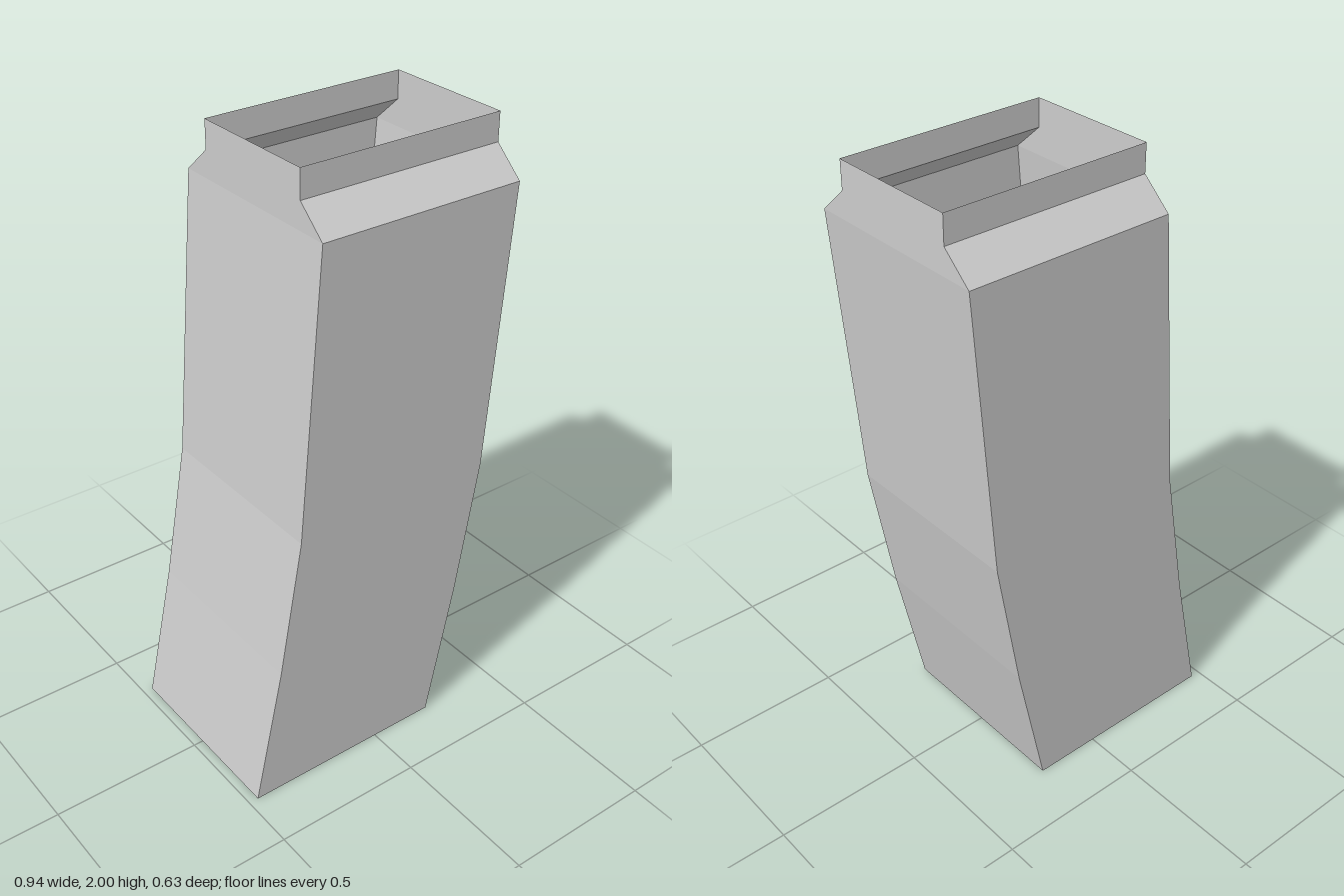
import * as THREE from 'three';

// Cross-sections from bottom to top: [height, centre x, half depth]
const RINGS = [
  [0, -0.125, 0.316],
  [0.46, -0.028, 0.316],
  [0.91, 0.05, 0.316],
  [1.825, 0.124, 0.316],
  [1.91, 0.124, 0.22],
  [2, 0.124, 0.22],
];
const HALF_WIDTH = 0.343;

// Skin a run of rectangular rings, optionally closing the bottom
function skin(name, rings, closeBottom) {
  const positions = [];
  const index = [];
  for (const [y, x, d] of rings) {
    positions.push(
      x - HALF_WIDTH, y, d,
      x + HALF_WIDTH, y, d,
      x + HALF_WIDTH, y, -d,
      x - HALF_WIDTH, y, -d,
    );
  }
  for (let i = 0; i < rings.length - 1; i++) {
    for (let j = 0; j < 4; j++) {
      const a = i * 4 + j;
      const b = i * 4 + ((j + 1) % 4);
      index.push(a, b, b + 4, a, b + 4, a + 4);
    }
  }
  if (closeBottom) index.push(0, 2, 1, 0, 3, 2);

  const indexed = new THREE.BufferGeometry();
  indexed.setAttribute('position', new THREE.Float32BufferAttribute(positions, 3));
  indexed.setIndex(index);
  const geometry = indexed.toNonIndexed();
  geometry.computeVertexNormals();

  const material = new THREE.MeshStandardMaterial({
    color: 0xcccccc, flatShading: true, side: THREE.DoubleSide,
  });
  const mesh = new THREE.Mesh(geometry, material);
  mesh.name = name;
  return mesh;
}

export function createModel() {
  const group = new THREE.Group();
  group.name = 'curvedBox';
  group.add(skin('body', RINGS.slice(0, 4), true)); // bent hollow body with floor
  group.add(skin('shoulder', RINGS.slice(3, 5), false)); // sloped front and back
  group.add(skin('neck', RINGS.slice(4), false)); // open upright rim
  return group;
}
